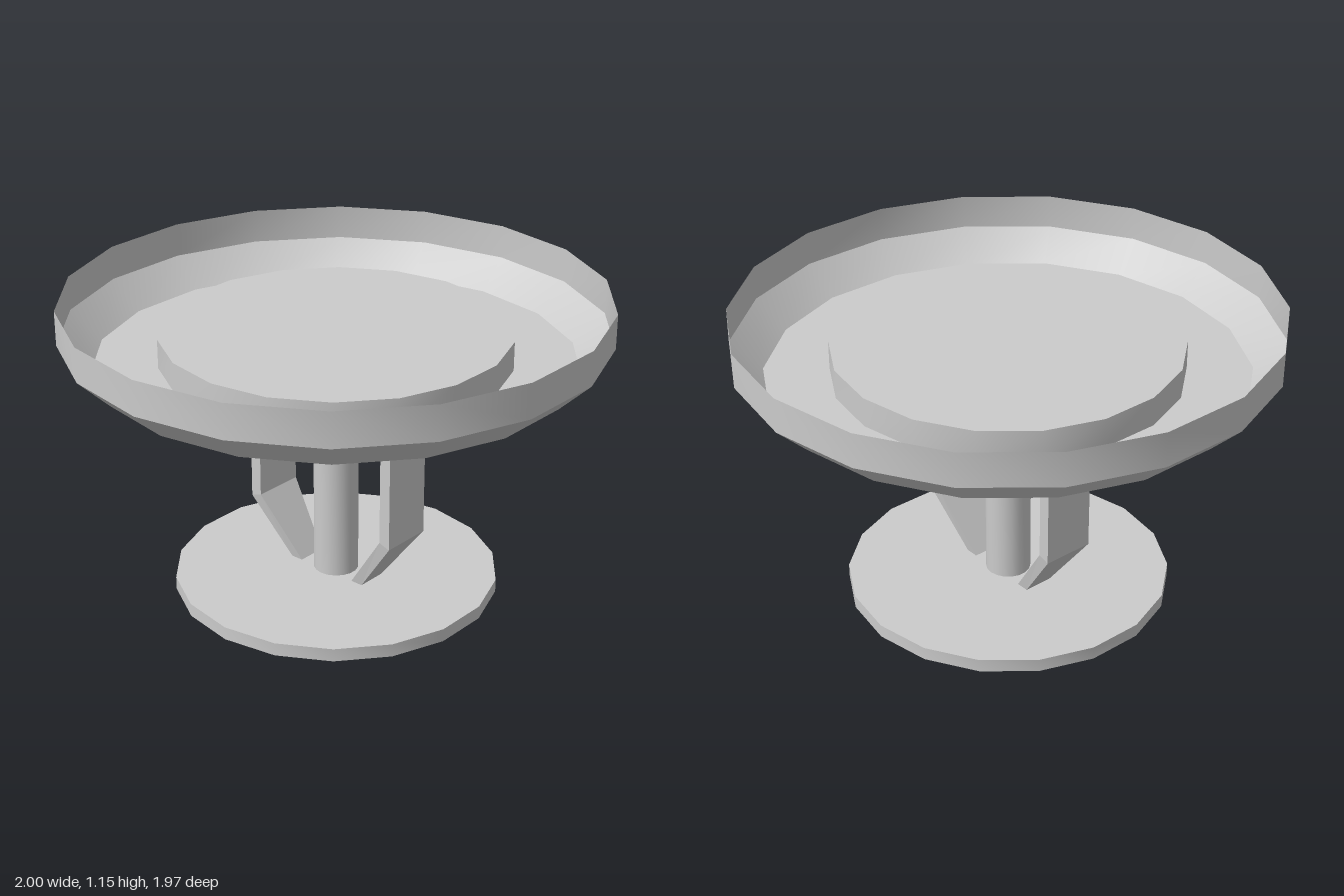
import * as THREE from 'three';
import { toCreasedNormals } from 'three/addons/utils/BufferGeometryUtils.js';

const SIDES = 18;
const material = new THREE.MeshStandardMaterial({ color: 0xcccccc });
const sheet = new THREE.MeshStandardMaterial({ color: 0xcccccc, side: THREE.DoubleSide });
const faceted = new THREE.MeshStandardMaterial({ color: 0xcccccc, flatShading: true });

function addMesh(parent, name, geometry, mat) {
  const mesh = new THREE.Mesh(geometry, mat);
  mesh.name = name;
  parent.add(mesh);
  return mesh;
}

// Turned part from [radius, height] pairs, with a corner on the x axis
function turned(profile) {
  const points = profile.map(([r, y]) => new THREE.Vector2(r, y));
  const geometry = new THREE.LatheGeometry(points, SIDES);
  geometry.rotateY(Math.PI / 2);
  return toCreasedNormals(geometry, Math.PI / 6);
}

// Bent strap: side profile in z and y, extruded across x, narrowing at the foot
function strapGeometry() {
  const width = 0.2;
  const shape = new THREE.Shape([
    [0.125, 0.05], [0.175, 0.05], [0.34, 0.275], [0.34, 1.02], [0.295, 1.02], [0.295, 0.29],
  ].map(([z, y]) => new THREE.Vector2(z, y)));
  const geometry = new THREE.ExtrudeGeometry(shape, { depth: width, bevelEnabled: false });
  geometry.translate(0, 0, -width / 2);
  geometry.rotateY(-Math.PI / 2);
  const pos = geometry.attributes.position;
  for (let i = 0; i < pos.count; i++) {
    if (pos.getY(i) < 0.1) pos.setX(i, pos.getX(i) * 0.57);
  }
  geometry.computeVertexNormals();
  return geometry;
}

export function createModel() {
  const model = new THREE.Group();
  model.name = 'dishOnStand';

  // Thin dish with a raised centre, hollow underneath
  addMesh(model, 'dish', turned([
    [0, 1.02], [0.645, 1.02], [0.645, 0.91], [0.885, 0.91], [1, 1.02], [1, 1.15],
  ]), sheet);

  // Round foot plate
  addMesh(model, 'footPlate', turned([[0, 0], [0.612, 0], [0.612, 0.05], [0, 0.05]]), material);

  // Central post
  addMesh(model, 'post', turned([[0.085, 0.05], [0.085, 0.88]]), sheet);

  // Open conical skirt around the top of the post
  addMesh(model, 'skirt', turned([[0.24, 0.73], [0.246, 0.738], [0.115, 0.876]]), sheet);

  // Octagonal hub under the dish
  const hub = new THREE.CylinderGeometry(0.325, 0.325, 0.145, 8);
  hub.rotateY(Math.PI / 8);
  hub.translate(0, 0.9475, 0);
  addMesh(model, 'hub', hub, faceted);

  // Straps at front and back
  const strap = strapGeometry();
  ['frontStrap', 'backStrap'].forEach((name, i) => {
    addMesh(model, name, strap, faceted).rotation.y = i * Math.PI;
  });

  return model;
}
